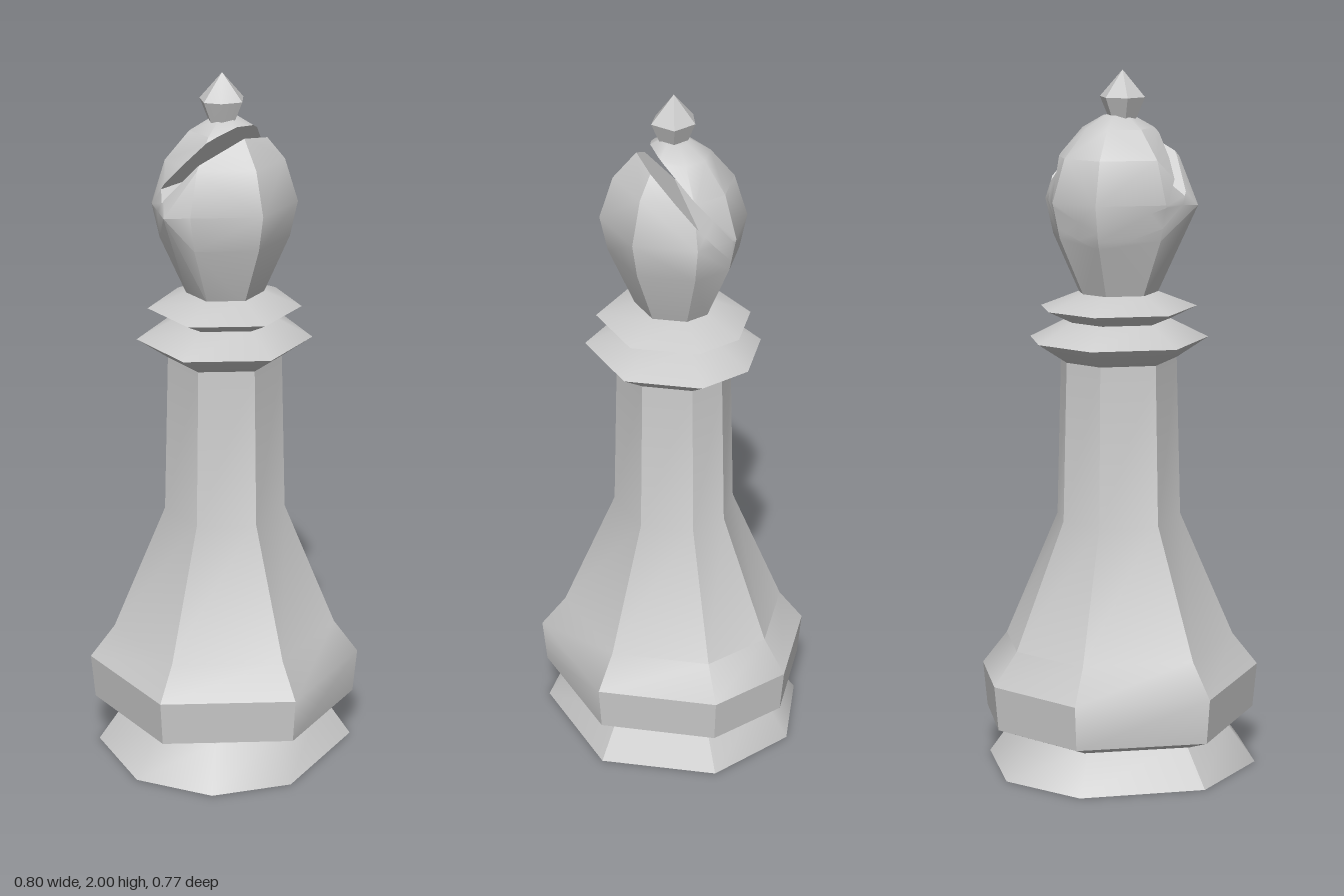
import * as THREE from 'three';
import { toCreasedNormals } from 'three/addons/utils/BufferGeometryUtils.js';
import { ConvexGeometry } from 'three/addons/geometries/ConvexGeometry.js';

// Hand-cut outlines as [x, z], running from +x towards +z
const SEVEN = [[0.4, -0.025], [0.26, 0.29], [-0.11, 0.385], [-0.39, 0.125],
  [-0.315, -0.245], [0.04, -0.385], [0.305, -0.255]];
const EIGHT = [[0.38, -0.03], [0.245, 0.28], [-0.11, 0.37], [-0.315, 0.255],
  [-0.4, 0.035], [-0.3, -0.23], [0.03, -0.37], [0.265, -0.28]];
const KNOB = [[0.068, 0.015], [0.012, 0.065], [-0.043, 0.04], [-0.065, -0.005],
  [-0.027, -0.06], [0.037, -0.05]];

const CREASE = THREE.MathUtils.degToRad(38);
const material = new THREE.MeshStandardMaterial({ color: 0xcccccc });

function addMesh(parent, name, geometry) {
  const mesh = new THREE.Mesh(toCreasedNormals(geometry, CREASE), material);
  mesh.name = name;
  parent.add(mesh);
  return mesh;
}

// Closed solid from one outline repeated at [height, scale] levels
function loft(outline, levels) {
  const n = outline.length;
  const pos = [];
  const index = [];
  for (const [y, s] of levels) for (const [x, z] of outline) pos.push(x * s, y, z * s);
  const bottom = n * levels.length;
  const top = bottom + 1;
  const last = bottom - n;
  pos.push(0, levels[0][0], 0, 0, levels[levels.length - 1][0], 0);
  for (let j = 0; j < n; j++) {
    const k = (j + 1) % n;
    for (let i = 0; i < last; i += n) {
      index.push(i + j, i + j + n, i + k, i + k, i + j + n, i + k + n);
    }
    index.push(bottom, j, k, top, last + k, last + j);
  }
  const g = new THREE.BufferGeometry();
  g.setAttribute('position', new THREE.Float32BufferAttribute(pos, 3));
  g.setIndex(index);
  return g;
}

// Convex solid around the points, as a list of triangular faces
function hullFaces(points) {
  const p = new ConvexGeometry(points).getAttribute('position');
  const corner = (i) => new THREE.Vector3().fromBufferAttribute(p, i);
  return Array.from({ length: p.count / 3 }, (_, f) => [0, 1, 2].map((c) => corner(f * 3 + c)));
}

// Keep the positive side of a plane and close the cut with one flat face
function clip(faces, plane) {
  const result = [];
  const rim = [];
  for (const face of faces) {
    const kept = [];
    face.forEach((a, i) => {
      const b = face[(i + 1) % face.length];
      const da = plane.distanceToPoint(a), db = plane.distanceToPoint(b);
      if (da >= 0) kept.push(a);
      if ((da >= 0) !== (db >= 0)) {
        const cut = a.clone().lerp(b, da / (da - db));
        kept.push(cut);
        if (!rim.some((p) => p.distanceTo(cut) < 1e-5)) rim.push(cut);
      }
    });
    if (kept.length > 2) result.push(kept);
  }
  if (rim.length > 2) {
    const centre = new THREE.Vector3();
    for (const p of rim) centre.addScaledVector(p, 1 / rim.length);
    const u = rim[0].clone().sub(centre);
    const v = plane.normal.clone().cross(u);
    const angle = (p) => {
      const d = p.clone().sub(centre);
      return Math.atan2(d.dot(v), d.dot(u));
    };
    result.push(rim.sort((a, b) => angle(b) - angle(a)));
  }
  return result;
}

function facesToGeometry(faces) {
  const points = [];
  for (const f of faces) {
    for (let i = 1; i < f.length - 1; i++) points.push(f[0], f[i], f[i + 1]);
  }
  return new THREE.BufferGeometry().setFromPoints(points);
}

const planeAt = (normal, point) =>
  new THREE.Plane().setFromNormalAndCoplanarPoint(
    new THREE.Vector3(...normal).normalize(), new THREE.Vector3(...point));

export function createModel() {
  const model = new THREE.Group();
  model.name = 'chessPiece';

  addMesh(model, 'foot', loft(EIGHT, [[0, 1], [0.12, 0.78]]));
  addMesh(model, 'body', loft(SEVEN, [[0.11, 0.79], [0.14, 0.97], [0.27, 1],
    [0.365, 0.82], [0.73, 0.44], [1.19, 0.41]]));

  // Two sharp-edged collars
  addMesh(model, 'lowerCollar', loft(SEVEN, [[1.185, 0.4], [1.245, 0.63], [1.305, 0.34]]));
  addMesh(model, 'upperCollar', loft(SEVEN, [[1.295, 0.34], [1.335, 0.55], [1.378, 0.28]]));

  // Bulbous head with a slanted slot, made of convex pieces around the slot
  const head = new THREE.Group();
  head.name = 'head';
  model.add(head);
  const points = [new THREE.Vector3(-0.23, 1.63, -0.01)];
  for (const [y, s] of [[1.37, 0.27], [1.54, 0.46], [1.64, 0.515], [1.76, 0.42],
    [1.84, 0.25], [1.875, 0.1]]) {
    for (const [x, z] of SEVEN) points.push(new THREE.Vector3(x * s, y, z * s));
  }
  const solid = hullFaces(points);
  const forward = [0, -0.64, 0.77];
  const backward = [0, 0.64, -0.77];
  const frontWall = [0, 1.83, 0.095];
  const backWall = [0, 1.86, 0.064];
  addMesh(head, 'headFront', facesToGeometry(clip(solid, planeAt(forward, frontWall))));
  addMesh(head, 'headBack', facesToGeometry(clip(solid, planeAt(backward, backWall))));
  const slab = clip(clip(solid, planeAt(backward, frontWall)), planeAt(forward, backWall));
  const slotFloor = clip(slab, planeAt([0.11, -0.77, -0.64], [0, 1.665, -0.02]));
  addMesh(head, 'slotFloor', facesToGeometry(slotFloor));

  // Pointed knob on top
  const knob = addMesh(model, 'knob', loft(KNOB, [[1.865, 0.6], [1.925, 1], [2, 0.001]]));
  knob.position.x = -0.013;

  return model;
}
